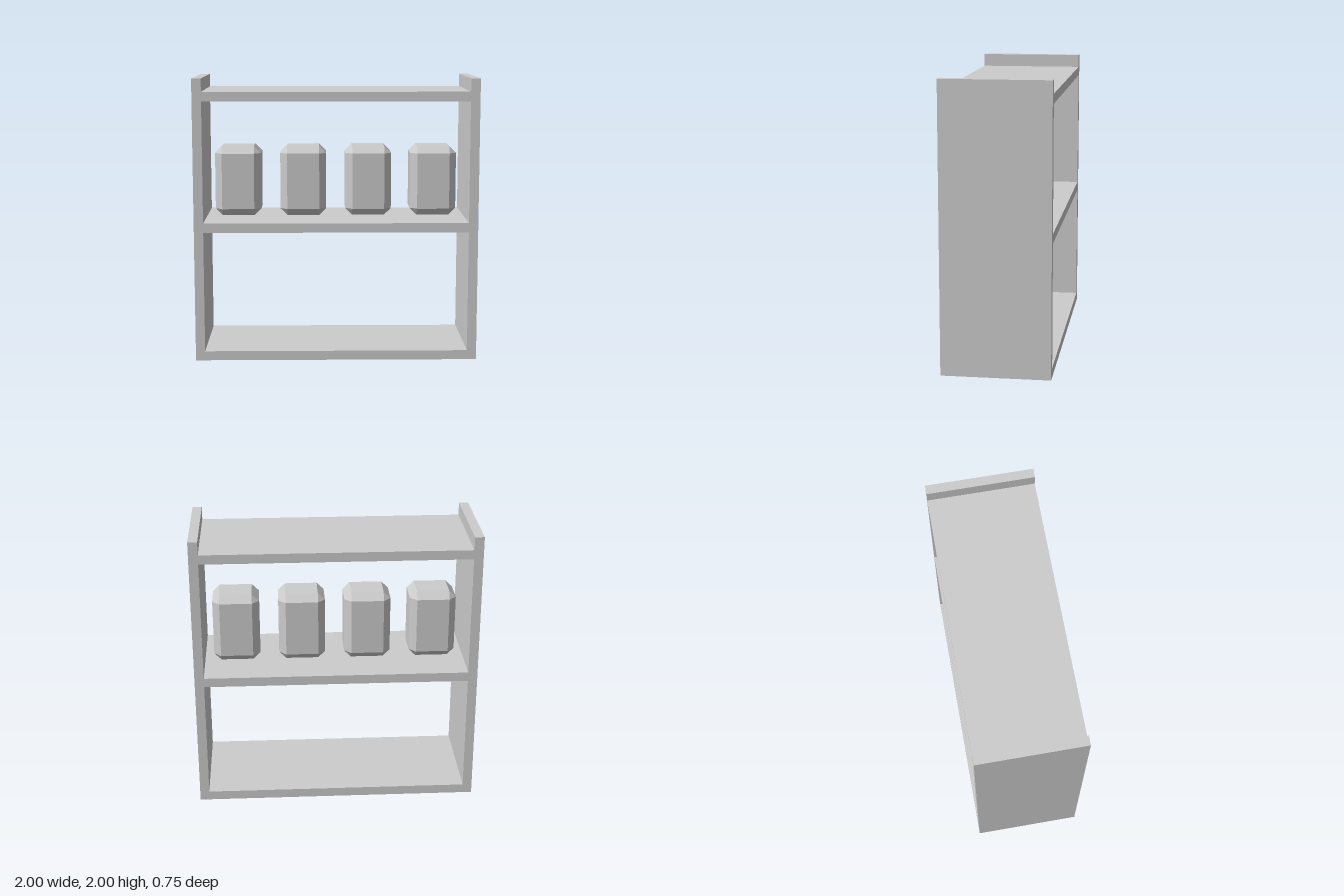
import * as THREE from 'three';
import { ConvexGeometry } from 'three/addons/geometries/ConvexGeometry.js';

const DEPTH = 0.75;
const BOARD = 0.066;

// Box with every edge cut at 45 degrees: hull of the six inset faces
function chamferedBox(w, h, d, c) {
  const points = [];
  for (const sx of [-1, 1]) for (const sy of [-1, 1]) for (const sz of [-1, 1]) {
    const x = w / 2, y = h / 2, z = d / 2;
    points.push(
      new THREE.Vector3(sx * x, sy * (y - c), sz * (z - c)),
      new THREE.Vector3(sx * (x - c), sy * y, sz * (z - c)),
      new THREE.Vector3(sx * (x - c), sy * (y - c), sz * z)
    );
  }
  return new ConvexGeometry(points);
}

export function createModel() {
  const group = new THREE.Group();
  const grey = new THREE.MeshStandardMaterial({ color: 0xcccccc });
  grey.name = 'light grey';

  const add = (name, geometry, x, y) => {
    const mesh = new THREE.Mesh(geometry, grey);
    mesh.name = name;
    mesh.position.set(x, y, 0);
    group.add(mesh);
  };

  // Upright side panels
  const panel = new THREE.BoxGeometry(BOARD, 2, DEPTH);
  add('leftPanel', panel, 1 - BOARD / 2, 1);
  add('rightPanel', panel, -1 + BOARD / 2, 1);

  // Horizontal boards between the panels, placed by their underside
  const board = new THREE.BoxGeometry(2 - 2 * BOARD, BOARD, DEPTH);
  const undersides = { bottomShelf: 0, middleShelf: 0.921, topShelf: 1.842 };
  for (const [name, y] of Object.entries(undersides)) add(name, board, 0, y + BOARD / 2);

  // Row of chamfered canisters just above the middle shelf
  const canister = chamferedBox(0.33, 0.5, 0.3, 0.05);
  for (let i = 0; i < 4; i++) add(`canister${i + 1}`, canister, -0.7 + i * 0.467, 1.255);

  return group;
}
